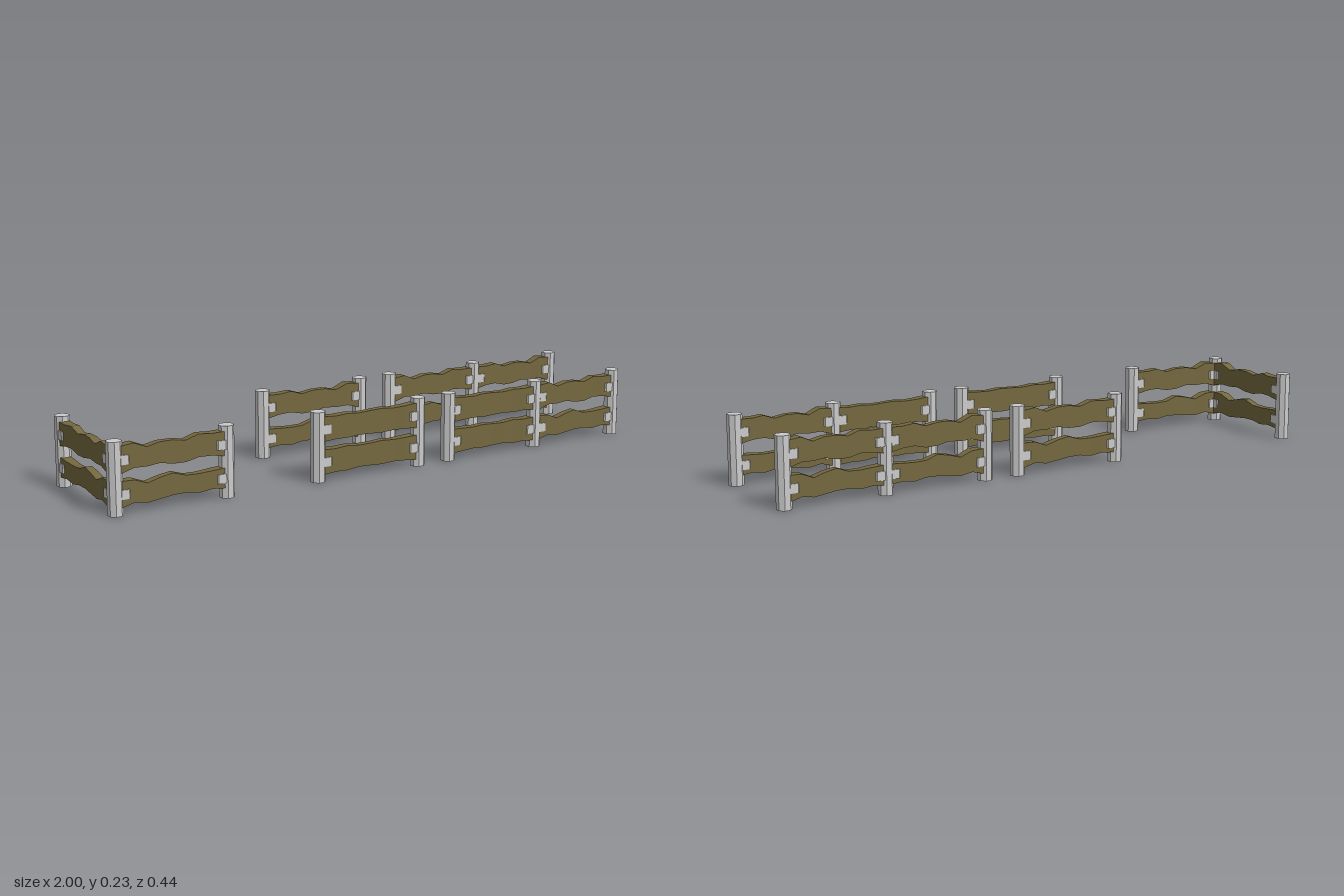
import * as THREE from 'three';

const POST_R = 0.0255, POST_H = 0.235;
const stone = new THREE.MeshStandardMaterial({ color: 0xcccccc, flatShading: true });
const wood = new THREE.MeshStandardMaterial({ color: 0x74683f, flatShading: true });

// Plank outlines at evenly spaced stations: wavy (worn) and calm (straighter)
const WAVY = [
  { top: [.109, .107, .09, .102, .109, .095, .094, .097, .1], bottom: [.025, .036, .028, .033, .038, .039, .032, .038, .034] },
  { top: [.219, .223, .205, .214, .214, .207, .221, .217, .218], bottom: [.133, .145, .143, .147, .138, .137, .147, .146, .138] },
];
const CALM = [
  { top: [.108, .106, .109, .104, .105, .108, .105, .107, .109], bottom: [.025, .028, .026, .031, .029, .027, .03, .028, .025] },
  { top: [.218, .215, .217, .213, .215, .217, .213, .215, .219], bottom: [.135, .138, .136, .139, .137, .135, .138, .137, .134] },
];
const THICK = [.036, .034, .029, .027, .024, .026, .028, .033, .035];

// Board running along +x from 0 to length, lofted through rectangular sections
function plankGeometry(length, profile, flip) {
  const n = THICK.length, pos = [], index = [];
  for (let i = 0; i < n; i++) {
    const k = flip ? n - 1 - i : i;
    const x = (i / (n - 1)) * length, h = THICK[k] / 2;
    const t = profile.top[k], b = profile.bottom[k];
    pos.push(x, b, -h, x, b, h, x, t, h, x, t, -h);
  }
  for (let i = 0; i < n - 1; i++) {
    for (let j = 0; j < 4; j++) {
      const a = i * 4 + j, b = i * 4 + (j + 1) % 4;
      index.push(a, a + 4, b + 4, a, b + 4, b);
    }
  }
  const e = (n - 1) * 4;
  index.push(0, 1, 2, 0, 2, 3, e, e + 2, e + 1, e, e + 3, e + 2);
  const g = new THREE.BufferGeometry();
  g.setAttribute('position', new THREE.Float32BufferAttribute(pos, 3));
  g.setIndex(index);
  g.computeVertexNormals();
  return g;
}

// Clamp that grips a plank end, chamfered at its tip, pointing along +x
function bracketGeometry() {
  const s = new THREE.Shape([
    [0, -.021], [.039, -.021], [.048, -.011], [.048, .011], [.039, .021], [0, .021],
  ].map(([x, y]) => new THREE.Vector2(x, y)));
  const g = new THREE.ExtrudeGeometry(s, { depth: .03, bevelEnabled: false });
  return g.rotateX(-Math.PI / 2).translate(0, -.015, 0);
}

export function createModel() {
  const model = new THREE.Group();
  const postGeo = new THREE.CylinderGeometry(POST_R, POST_R, POST_H, 8).rotateY(Math.PI / 8 + .06);
  const bracketGeo = bracketGeometry();

  function add(parent, name, geo, mat) {
    const m = new THREE.Mesh(geo, mat);
    m.name = name;
    parent.add(m);
    return m;
  }

  // Two rails and four brackets between a pair of posts
  function addSpan(parent, [x0, z0], [x1, z1], profiles, flip) {
    const span = new THREE.Group();
    span.name = 'fenceSpan';
    span.position.set(x0, 0, z0);
    span.rotation.y = Math.atan2(z0 - z1, x1 - x0);
    const length = Math.hypot(x1 - x0, z1 - z0), inset = .015;
    profiles.forEach((profile, i) => {
      const rail = add(span, i ? 'upperRail' : 'lowerRail', plankGeometry(length - 2 * inset, profile, flip), wood);
      rail.position.x = inset;
      const y = i ? .175 : .066;
      add(span, 'startBracket', bracketGeo, stone).position.y = y;
      const end = add(span, 'endBracket', bracketGeo, stone);
      end.position.set(length, y, 0);
      end.rotation.y = Math.PI;
    });
    parent.add(span);
  }

  // A run of posts joined by spans; each span has [profiles, flip]
  function addFence(name, posts, spans) {
    const fence = new THREE.Group();
    fence.name = name;
    posts.forEach(([x, z]) => add(fence, 'post', postGeo, stone).position.set(x, POST_H / 2, z));
    spans.forEach(([profiles, flip], i) => addSpan(fence, posts[i], posts[i + 1], profiles, flip));
    model.add(fence);
  }

  const F = .195, B = -.17;
  addFence('cornerFence', [[-.59, F], [-.975, F], [-.975, -.196]], [[WAVY, true], [WAVY, false]]);
  addFence('frontSingleFence', [[-.255, F], [.135, F]], [[CALM, false]]);
  addFence('backSingleFence', [[-.255, B], [.135, B]], [[WAVY, true]]);
  addFence('frontDoubleFence', [[.26, F], [.625, F], [.975, F]], [[CALM, true], [WAVY, false]]);
  addFence('backDoubleFence', [[.26, B], [.625, B], [.975, B]], [[WAVY, false], [WAVY, true]]);
  return model;
}
